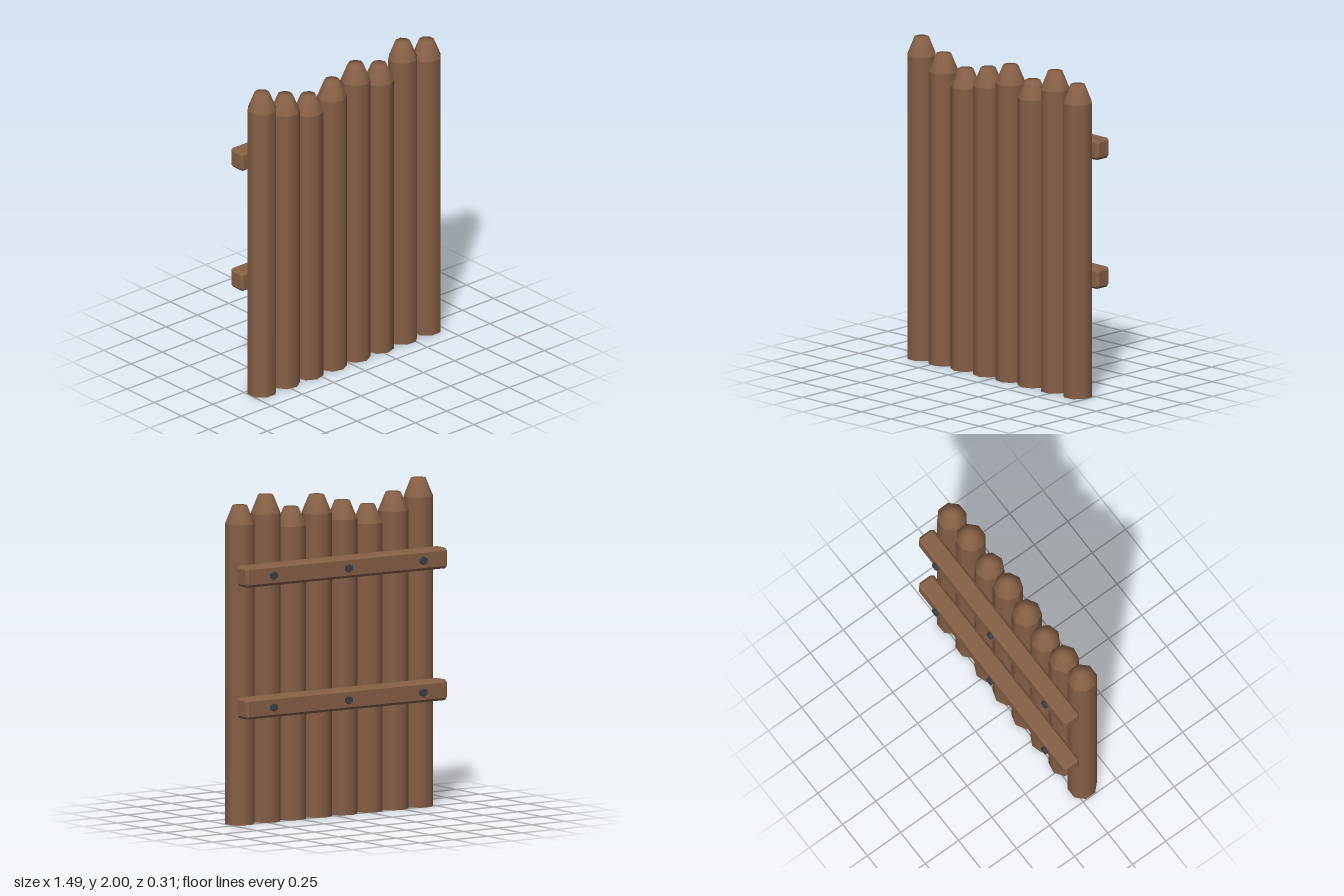
import * as THREE from 'three';

export function createModel() {
  const group = new THREE.Group();
  group.name = 'palisadeFence';

  const wood = new THREE.MeshStandardMaterial({ color: 0x866046, side: THREE.DoubleSide });
  wood.name = 'postWood';
  const railWood = new THREE.MeshStandardMaterial({ color: 0x866046, flatShading: true });
  railWood.name = 'railWood';
  const iron = new THREE.MeshStandardMaterial({ color: 0x3c3f45, flatShading: true });
  iron.name = 'darkIron';

  // Eight-sided posts with tapered tops, open underneath: [x, height, turn in degrees]
  const posts = [
    [-0.66, 2.0, 22.5], [-0.475, 1.93, 12], [-0.287, 1.87, -6], [-0.099, 1.91, 7],
    [0.09, 1.96, 5], [0.278, 1.9, -3], [0.467, 1.99, 21], [0.658, 1.94, 24],
  ];
  posts.forEach(([x, height, turn], i) => {
    const shoulder = height - 0.11;
    const profile = [
      [0.092, 0], [0.092, shoulder - 0.004], [0.091, shoulder], [0.046, height], [0, height],
    ].map(([r, y]) => new THREE.Vector2(r, y));
    const post = new THREE.Mesh(new THREE.LatheGeometry(profile, 8), wood);
    post.name = `post${i + 1}`;
    post.position.set(x, 0, 0.06);
    post.rotation.y = THREE.MathUtils.degToRad(turn);
    group.add(post);
  });

  // Rail cross-section with chamfered corners; the bevel chamfers the ends
  const b = 0.016, length = 1.49, w = 0.115 / 2, h = 0.126 / 2;
  const iw = w - b, ih = h - b;
  const section = new THREE.Shape([
    [w - b, -h], [w, -ih], [w, ih], [iw, h], [-iw, h], [-w, ih], [-w, -ih], [-iw, -h],
  ].map(([x, y]) => new THREE.Vector2(x, y)));
  const railGeometry = new THREE.ExtrudeGeometry(section, {
    depth: length - 2 * b, bevelEnabled: true, bevelSegments: 1,
    bevelSize: b, bevelOffset: -b, bevelThickness: b,
  });
  railGeometry.translate(0, 0, -(length / 2 - b)).rotateY(Math.PI / 2);

  // Hexagonal bolt head pointing backwards
  const boltGeometry = new THREE.CylinderGeometry(0.025, 0.025, 0.04, 6).rotateX(Math.PI / 2);

  [['lower', 0.722], ['upper', 1.525]].forEach(([label, y]) => {
    const rail = new THREE.Mesh(railGeometry, railWood);
    rail.name = `${label}Rail`;
    rail.position.set(-0.003, y, -0.0775);
    group.add(rail);
    [-0.555, -0.004, 0.548].forEach((x, i) => {
      const bolt = new THREE.Mesh(boltGeometry, iron);
      bolt.name = `${label}Bolt${i + 1}`;
      bolt.position.set(x, y, -0.135);
      group.add(bolt);
    });
  });

  return group;
}
